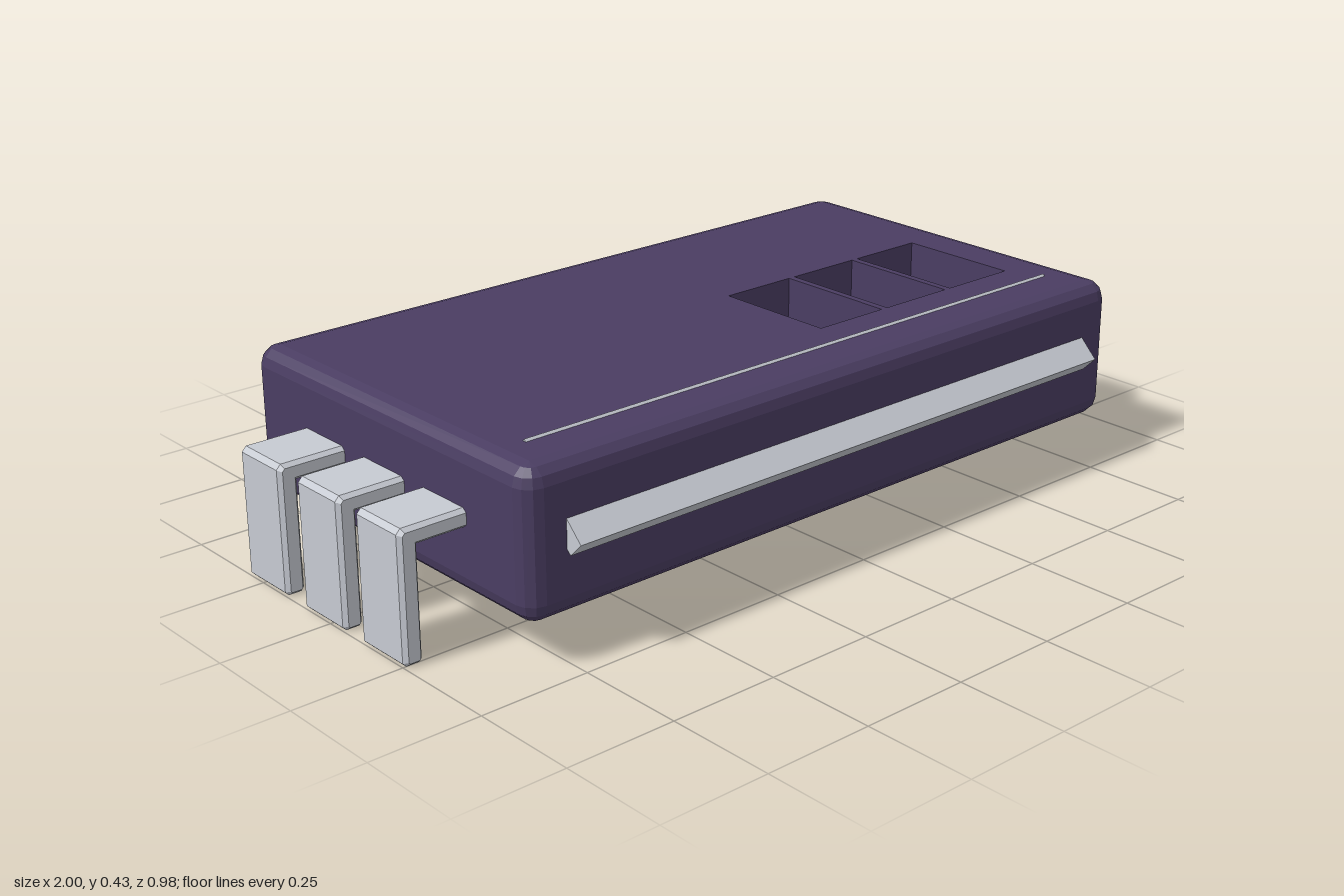
import * as THREE from 'three';
import { mergeGeometries } from 'three/addons/utils/BufferGeometryUtils.js';

const HX = 0.845, HZ = 0.47, CZ = -0.02, Y0 = 0.1, Y1 = 0.425, R = 0.042;

// Rounded rectangle seen from above, counter-clockwise, as [x, z] pairs
function outline(hx, hz, cx, cz, r, steps) {
  const pts = [];
  [[1, 1], [-1, 1], [-1, -1], [1, -1]].forEach(([sx, sy], q) => {
    for (let i = 0; i <= steps; i++) {
      const a = (q + (steps ? i / steps : 0)) * Math.PI / 2;
      pts.push([cx + sx * (hx - r) + Math.cos(a) * r, cz - sy * (hz - r) - Math.sin(a) * r]);
    }
  });
  return pts;
}

// Flat-shaded skin through stacked rings; rings listed top-down face inward
function loft(rings) {
  const pos = [], n = rings[0].pts.length;
  for (let i = 0; i < rings.length - 1; i++) {
    for (let j = 0; j < n; j++) {
      const k = (j + 1) % n;
      const p = (ring, m) => [ring.pts[m][0], ring.y, ring.pts[m][1]];
      const a = p(rings[i], j), b = p(rings[i], k), c = p(rings[i + 1], k), d = p(rings[i + 1], j);
      pos.push(...a, ...b, ...c, ...a, ...c, ...d);
    }
  }
  const g = new THREE.BufferGeometry();
  g.setAttribute('position', new THREE.Float32BufferAttribute(pos, 3));
  g.computeVertexNormals();
  return g;
}

function plain(g) {
  const out = g.index ? g.toNonIndexed() : g;
  out.deleteAttribute('uv');
  return out;
}

function rectPath(Type, hx, hz, cx, cz) {
  return new Type(outline(hx, hz, cx, cz, 0, 0).map(([x, z]) => new THREE.Vector2(x, -z)));
}

function bodyGeometry() {
  // Rounded shell
  const steps = 3, rings = [];
  const ring = (y, d) => rings.push({ y, pts: outline(HX - d, HZ - d, 0, CZ, R - d, steps) });
  for (let i = 0; i <= steps; i++) {
    const a = i / steps * Math.PI / 2;
    ring(Y0 + R * (1 - Math.cos(a)), R * (1 - Math.sin(a)));
  }
  for (let i = 0; i <= steps; i++) {
    const a = i / steps * Math.PI / 2;
    ring(Y1 - R * (1 - Math.sin(a)), R * (1 - Math.cos(a)));
  }
  const parts = [loft(rings)];

  // Underside
  parts.push(plain(new THREE.PlaneGeometry(2 * (HX - R), 2 * (HZ - R)).rotateX(Math.PI / 2).translate(0, Y0, CZ)));

  // Top with three open wells
  const top = rectPath(THREE.Shape, HX - R, HZ - R, 0, CZ);
  const whx = 0.094, whz = 0.147, wz = 0.097, floorY = Y1 - 0.125;
  for (const wx of [0.21, 0.415, 0.62]) {
    top.holes.push(rectPath(THREE.Path, whx, whz, wx, wz));
    const pts = outline(whx, whz, wx, wz, 0, 0);
    parts.push(loft([{ y: Y1, pts }, { y: floorY, pts }]));
    parts.push(plain(new THREE.PlaneGeometry(2 * whx, 2 * whz).rotateX(-Math.PI / 2).translate(wx, floorY, wz)));
  }
  parts.push(plain(new THREE.ShapeGeometry(top).rotateX(-Math.PI / 2).translate(0, Y1, 0)));
  return mergeGeometries(parts);
}

// Bent leg with chamfered edges
function legGeometry() {
  const b = 0.01, w = 0.15;
  const shape = new THREE.Shape([
    [0.78, 0.25], [0.956, 0.25], [0.956, 0.01], [0.962, 0.002], [0.992, 0.002],
    [1, 0.01], [1, 0.28], [0.99, 0.291], [0.78, 0.291],
  ].map(([x, y]) => new THREE.Vector2(x, y)));
  return new THREE.ExtrudeGeometry(shape, {
    depth: w - 2 * b, bevelEnabled: true, bevelThickness: b, bevelSize: 0.008, bevelOffset: -0.008, bevelSegments: 1,
  }).translate(0, 0, -w / 2 + b);
}

export function createModel() {
  const purple = new THREE.MeshStandardMaterial({ color: 0x4a3d62 });
  purple.name = 'dark purple';
  const silver = new THREE.MeshStandardMaterial({ color: 0xc6cad2 });
  silver.name = 'silver';

  const model = new THREE.Group();
  model.name = 'module';
  const add = (name, geometry, material) => {
    const mesh = new THREE.Mesh(geometry, material);
    mesh.name = name;
    model.add(mesh);
    return mesh;
  };

  add('body', bodyGeometry(), purple);

  // Slanted plate running through the body, showing at the front and top
  const plate = add('slantedPlate', new THREE.BoxGeometry(1.504, 0.233, 0.045), silver);
  plate.position.set(0, 0.3315, 0.3935);
  plate.rotation.x = -Math.PI / 4;

  // Three legs on each side
  const leg = legGeometry();
  for (const side of [1, -1]) {
    for (const z of [0.185, -0.02, -0.23]) {
      const mesh = add(side > 0 ? 'leftLeg' : 'rightLeg', leg, silver);
      mesh.position.z = z;
      if (side < 0) mesh.rotation.y = Math.PI;
    }
  }
  return model;
}
